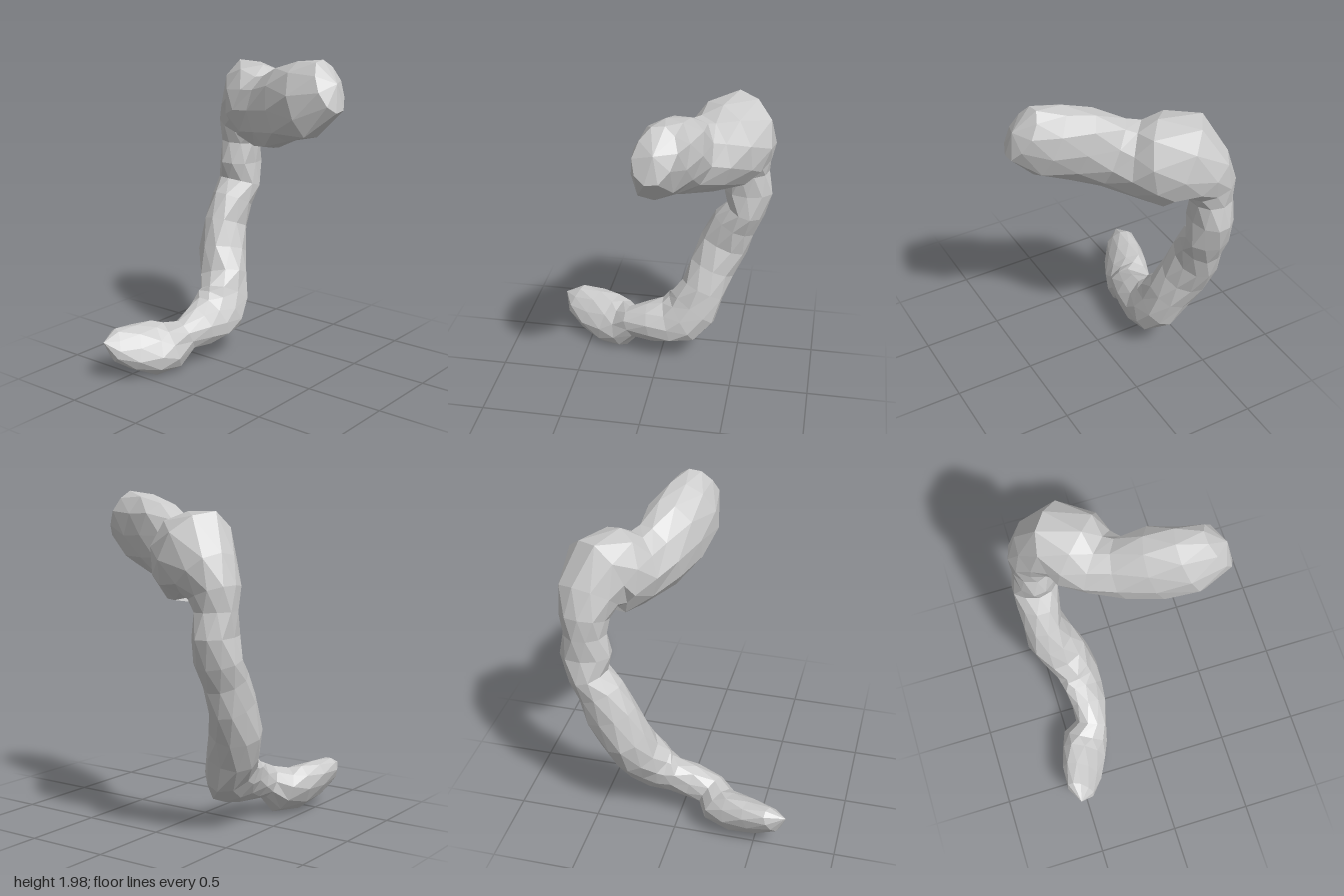
import * as THREE from 'three';

const SIDES = 10;

// cross-sections along the limb: x, y, z, sideways radius, upward radius, roll
const SECTIONS = [
  // bulging upper end
  [0.10, 1.84, 0.54, 0.115, 0.165, 0.25],
  [0.105, 1.75, 0.38, 0.16, 0.235, 0.3],
  [0.16, 1.70, 0.20, 0.165, 0.235, 0.4],
  [0.22, 1.62, 0.03, 0.155, 0.22, 0.3],
  // large bend
  [0.31, 1.59, -0.09, 0.19, 0.225, 0],
  [0.41, 1.62, -0.19, 0.23, 0.26, 0],
  [0.49, 1.63, -0.28, 0.215, 0.265, 0],
  [0.52, 1.54, -0.38, 0.18, 0.185, 0],
  [0.53, 1.44, -0.44, 0.14, 0.145, 0],
  // pinched descending part
  [0.53, 1.34, -0.45, 0.125, 0.125, 0],
  [0.53, 1.20, -0.45, 0.155, 0.12, 0],
  [0.52, 1.06, -0.455, 0.12, 0.14, 0],
  [0.45, 0.95, -0.46, 0.14, 0.13, 0],
  [0.39, 0.80, -0.465, 0.16, 0.125, 0],
  [0.32, 0.63, -0.44, 0.15, 0.15, 0],
  [0.265, 0.48, -0.385, 0.145, 0.155, 0],
  // lower bend
  [0.205, 0.365, -0.335, 0.175, 0.13, 0.2],
  [0.135, 0.30, -0.315, 0.175, 0.12, 0.4],
  [0.045, 0.265, -0.31, 0.155, 0.105, 0.5],
  [-0.07, 0.24, -0.31, 0.13, 0.105, 0.4],
  [-0.19, 0.21, -0.33, 0.10, 0.10, 0.4],
  // slanted lower end lobe
  [-0.26, 0.15, -0.39, 0.155, 0.12, 0.7],
  [-0.37, 0.15, -0.435, 0.17, 0.115, 0.7],
  [-0.50, 0.185, -0.485, 0.148, 0.095, 0.7],
  [-0.62, 0.225, -0.528, 0.105, 0.065, 0.7],
];
const START_TIP = new THREE.Vector3(0.10, 1.86, 0.59);
const END_TIP = new THREE.Vector3(-0.70, 0.26, -0.545);

function limbGeometry() {
  const centers = SECTIONS.map(([x, y, z]) => new THREE.Vector3(x, y, z));
  const last = centers.length - 1;
  const up = new THREE.Vector3(0, 1, 0);
  const points = [];

  // rings, with the up direction carried along the path
  centers.forEach((c, i) => {
    const tangent = centers[Math.min(i + 1, last)].clone()
      .sub(centers[Math.max(i - 1, 0)]).normalize();
    up.addScaledVector(tangent, -up.dot(tangent)).normalize();
    const [, , , rSide, rUp, roll] = SECTIONS[i];
    const rolledUp = up.clone().applyAxisAngle(tangent, roll);
    const side = tangent.clone().cross(rolledUp);
    for (let j = 0; j < SIDES; j++) {
      const a = ((j + (i % 2) * 0.5) / SIDES) * Math.PI * 2;
      const lump = 1.025 + 0.03 * Math.sin(i * 2.3 + j * 3.7);
      points.push(c.clone()
        .addScaledVector(rolledUp, Math.cos(a) * rUp * lump)
        .addScaledVector(side, Math.sin(a) * rSide * lump));
    }
  });
  points.push(START_TIP, END_TIP);
  for (const p of points) p.y = Math.max(p.y, 0);

  // staggered triangles between rings, then the two caps
  const at = (i, j) => i * SIDES + (j % SIDES);
  const index = [];
  for (let j = 0; j < SIDES; j++) {
    for (let i = 0; i < last; i++) {
      const a = at(i, j), b = at(i, j + 1), c = at(i + 1, j), d = at(i + 1, j + 1);
      if (i % 2) index.push(a, b, d, a, d, c);
      else index.push(a, b, c, b, d, c);
    }
    index.push(points.length - 2, at(0, j + 1), at(0, j));
    index.push(points.length - 1, at(last, j), at(last, j + 1));
  }

  const geometry = new THREE.BufferGeometry().setFromPoints(points);
  geometry.setIndex(index);
  const faceted = geometry.toNonIndexed();
  faceted.computeVertexNormals();
  return faceted;
}

export function createModel() {
  const group = new THREE.Group();
  group.name = 'curvedLimb';
  const limb = new THREE.Mesh(
    limbGeometry(),
    new THREE.MeshStandardMaterial({ color: 0xcccccc, flatShading: true }),
  );
  limb.name = 'lumpyTube';
  group.add(limb);
  return group;
}
